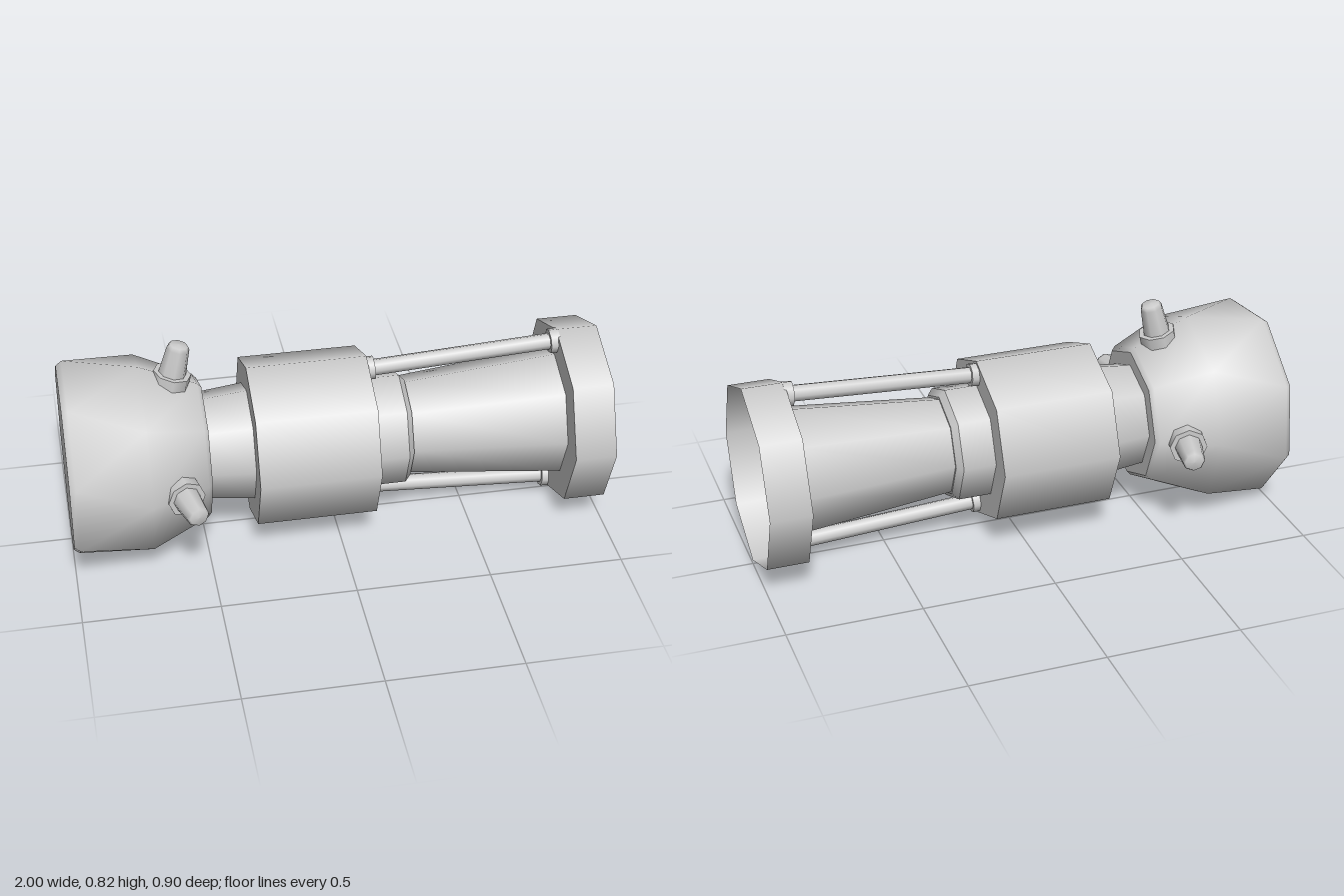
import * as THREE from 'three';

const SIDES = 8;
const material = new THREE.MeshStandardMaterial({ color: 0xcccccc });
const sheet = new THREE.MeshStandardMaterial({ color: 0xcccccc, side: THREE.DoubleSide });

function addMesh(parent, name, geometry, mat = material) {
  const mesh = new THREE.Mesh(geometry, mat);
  mesh.name = name;
  parent.add(mesh);
  return mesh;
}

// Octagonal tube along x, from radius r0 at x0 to radius r1 at x1
function tube(x0, r0, x1, r1, open = false) {
  return new THREE.CylinderGeometry(r1, r0, x1 - x0, SIDES, 1, open)
    .rotateZ(-Math.PI / 2)
    .translate((x0 + x1) / 2, 0, 0);
}

// Skin over octagonal loops [x, radius, twist in degrees]
function loft(loops) {
  const positions = [], index = [];
  for (const [x, r, twist] of loops) {
    for (let j = 0; j < SIDES; j++) {
      const a = THREE.MathUtils.degToRad(twist + j * 360 / SIDES);
      positions.push(x, r * Math.cos(a), r * Math.sin(a));
    }
  }
  for (let i = 0; i < loops.length - 1; i++) {
    for (let j = 0; j < SIDES; j++) {
      const k = (j + 1) % SIDES;
      const a = i * SIDES + j, b = i * SIDES + k;
      const c = a + SIDES, d = b + SIDES;
      index.push(a, b, c, b, d, c);
    }
  }
  const g = new THREE.BufferGeometry();
  g.setAttribute('position', new THREE.Float32BufferAttribute(positions, 3));
  g.setIndex(index);
  g.computeVertexNormals();
  return g;
}

// Support rod with a flange at each end, sloping outwards along x
function createRod() {
  const rod = new THREE.Group();
  rod.name = 'supportRod';
  const length = 0.735;
  addMesh(rod, 'rodShaft', tube(0, 0.031, length, 0.031));
  addMesh(rod, 'rearFlange', tube(0, 0.044, 0.035, 0.044));
  addMesh(rod, 'frontFlange', tube(length - 0.035, 0.047, length, 0.047));
  rod.position.set(0.12, 0.264, 0);
  rod.rotation.z = Math.atan2(0.042, length);
  return rod;
}

// Tapered knob on a collar, leaning towards +x
function createKnob() {
  const knob = new THREE.Group();
  knob.name = 'knob';
  addMesh(knob, 'knobCollar', new THREE.CylinderGeometry(0.07, 0.07, 0.09, SIDES).translate(0, 0.007, 0));
  const profile = [[0.053, 0.03], [0.042, 0.155], [0.034, 0.169], [0, 0.172]];
  addMesh(knob, 'knobTip', new THREE.LatheGeometry(profile.map(([r, y]) => new THREE.Vector2(r, y)), SIDES));
  knob.position.set(-0.6, 0.28, 0);
  knob.rotation.z = THREE.MathUtils.degToRad(-14);
  return knob;
}

export function createModel() {
  const model = new THREE.Group();
  model.name = 'model';
  const body = new THREE.Group();
  body.name = 'body';
  body.position.y = 0.37;
  model.add(body);

  // Head: twisted octagonal drum narrowing towards the neck
  const twist = -16;
  addMesh(body, 'head', loft([
    [-1, 0.358, twist], [-0.978, 0.375, twist], [-0.71, 0.367, 0], [-0.5, 0.272, 0], [-0.485, 0.255, 0],
  ]));
  addMesh(body, 'headBackCap',
    new THREE.CircleGeometry(0.358, SIDES, THREE.MathUtils.degToRad(90 - twist))
      .rotateY(-Math.PI / 2).translate(-1, 0, 0));
  addMesh(body, 'headFrontCap',
    new THREE.CircleGeometry(0.255, SIDES).rotateY(Math.PI / 2).translate(-0.485, 0, 0));

  // Knobs on top and on both sides
  for (const turn of [0, 1, -1]) {
    const pivot = new THREE.Group();
    pivot.name = 'knobPivot';
    pivot.rotation.x = turn * Math.PI / 2;
    pivot.add(createKnob());
    body.add(pivot);
  }

  // Neck, thick sleeve and collar
  addMesh(body, 'neck', tube(-0.5, 0.2, -0.3, 0.222));
  addMesh(body, 'sleeve', tube(-0.32, 0.318, 0.127, 0.318));
  addMesh(body, 'collar', tube(0.1, 0.22, 0.25, 0.22));
  addMesh(body, 'collarBevel', tube(0.25, 0.22, 0.272, 0.195));

  // Flared horn ending in an open rim with a step
  addMesh(body, 'horn', tube(0.27, 0.186, 0.845, 0.243, true), sheet);
  addMesh(body, 'rimStep',
    new THREE.RingGeometry(0.243, 0.352, SIDES).rotateY(Math.PI / 2).translate(0.845, 0, 0), sheet);
  addMesh(body, 'rim', tube(0.845, 0.352, 1, 0.352, true), sheet);

  // Rods above and below the horn
  for (const turn of [0, Math.PI]) {
    const pivot = new THREE.Group();
    pivot.name = 'rodPivot';
    pivot.rotation.x = turn;
    pivot.add(createRod());
    body.add(pivot);
  }
  return model;
}
